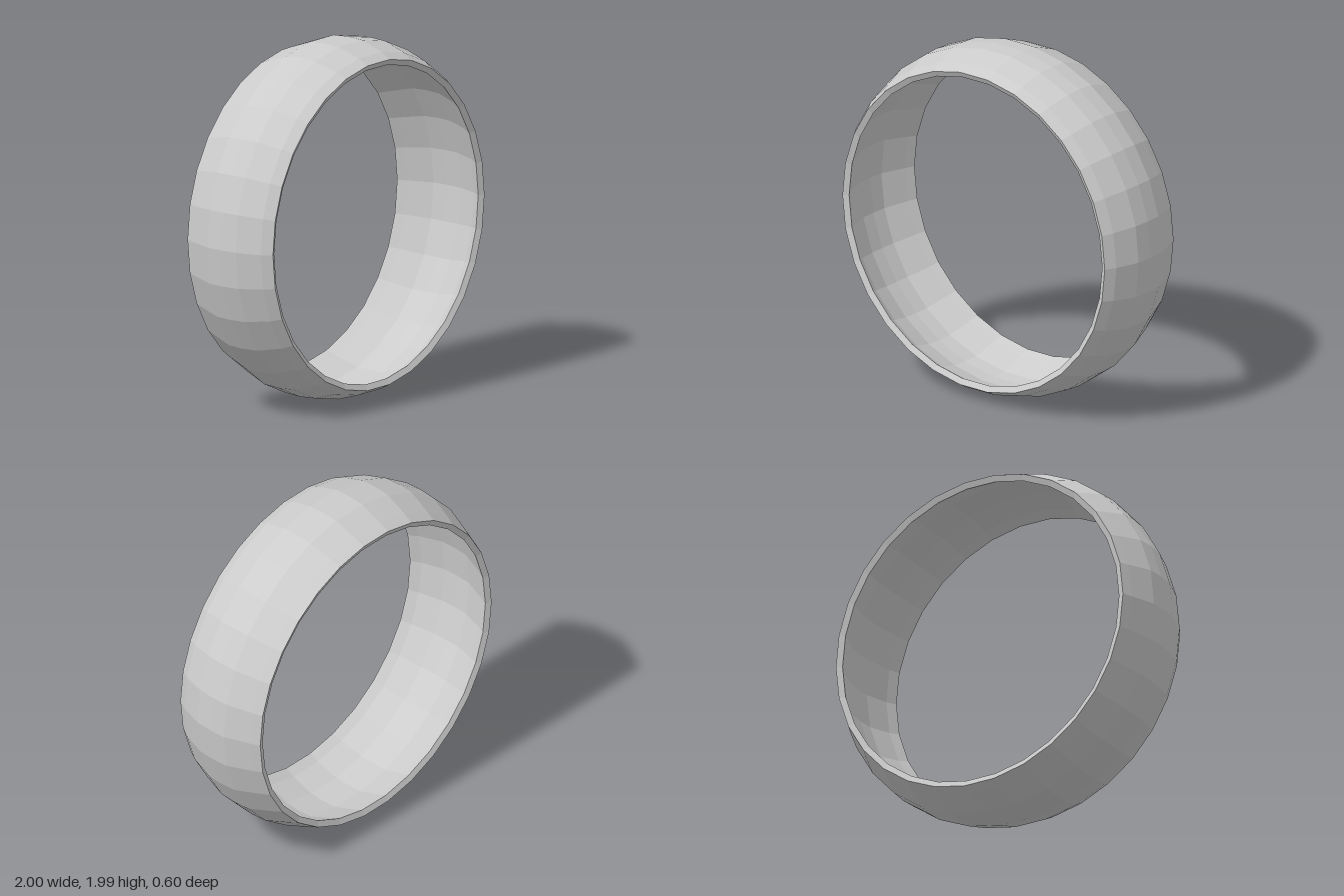
import * as THREE from 'three';

export function createModel() {
  const group = new THREE.Group();
  const sides = 30;
  const thickness = 0.037;

  // outer wall section as (radius, z), from the back rim to the front rim
  const outer = [
    [0.917, -0.3], [0.94, -0.245], [0.994, -0.1], [1, 0],
    [0.994, 0.1], [0.95, 0.24], [0.917, 0.3],
  ].map(([r, z]) => new THREE.Vector2(r, z));

  // inner wall: the same section moved inward along its normals
  const inner = outer.map((p, i) => {
    const a = outer[Math.max(i - 1, 0)];
    const b = outer[Math.min(i + 1, outer.length - 1)];
    const t = b.clone().sub(a).normalize();
    return new THREE.Vector2(p.x - t.y * thickness, p.y + t.x * thickness);
  }).reverse();

  // closed section turned round the z axis, with a corner at each side
  const geometry = new THREE.LatheGeometry(
    [...outer, ...inner, outer[0].clone()], sides, Math.PI / 2);
  geometry.rotateX(Math.PI / 2);
  geometry.translate(0, Math.cos(Math.PI / sides), 0);

  const band = new THREE.Mesh(geometry,
    new THREE.MeshStandardMaterial({ color: 0xcccccc, flatShading: true }));
  band.name = 'ringBand';
  group.add(band);
  return group;
}
